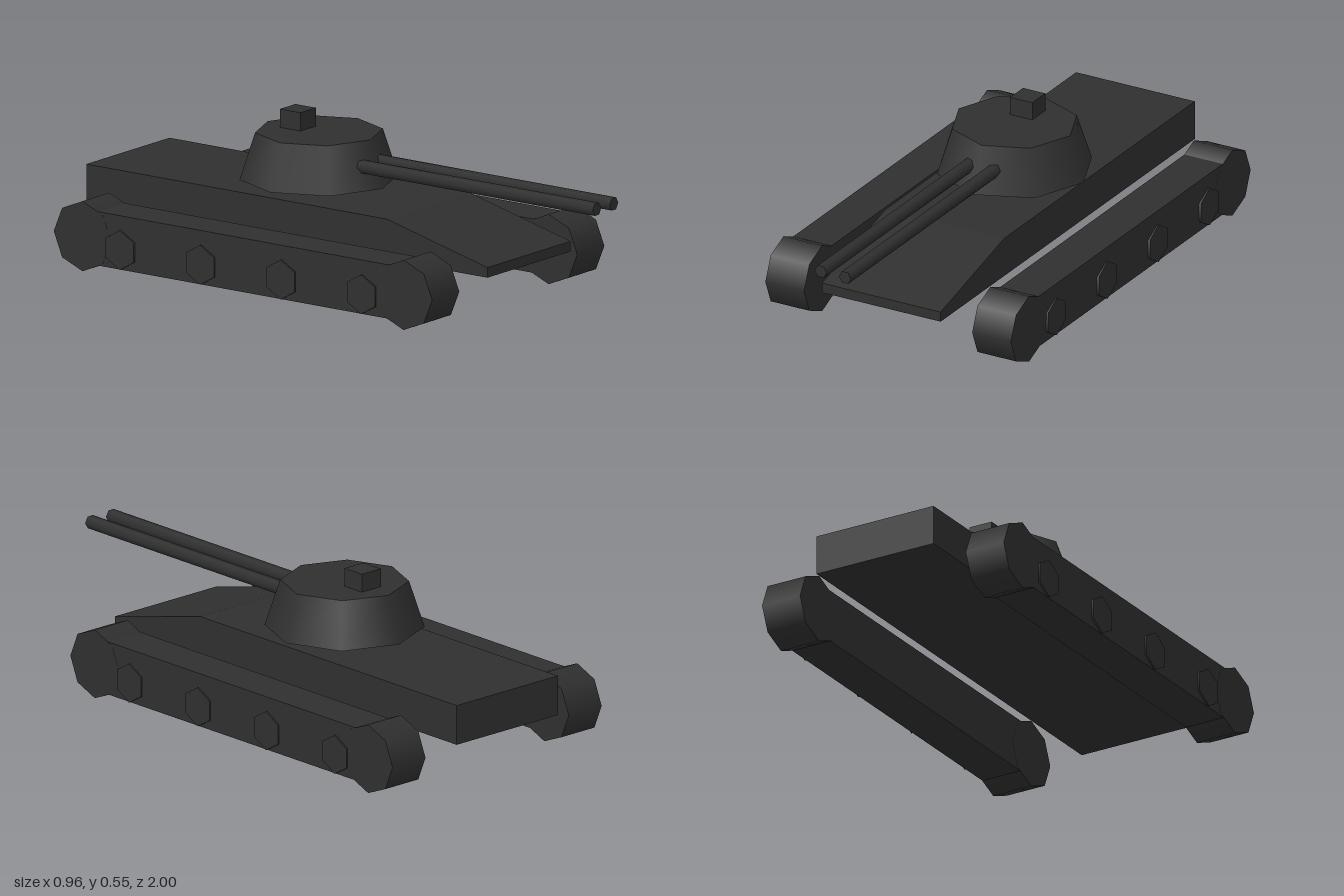
import * as THREE from 'three';

export function createModel() {
  const model = new THREE.Group();
  model.name = 'tank';
  const darkSteel = new THREE.MeshStandardMaterial({ color: 0x2f2f2f });
  darkSteel.name = 'dark steel';

  const add = (name, geometry, x, y, z, parent = model) => {
    const mesh = new THREE.Mesh(geometry, darkSteel);
    mesh.name = name;
    mesh.position.set(x, y, z);
    parent.add(mesh);
    return mesh;
  };

  // Hull: side profile (z, y) extruded across the width
  const profile = new THREE.Shape([
    [0.68, 0.157], [0.68, 0.192], [0.26, 0.295], [-1, 0.295], [-1, 0.157],
  ].map(([z, y]) => new THREE.Vector2(z, y)));
  const hull = new THREE.ExtrudeGeometry(profile, { depth: 0.458, bevelEnabled: false });
  hull.translate(0, 0, -0.229).rotateY(-Math.PI / 2);
  add('hull', hull, 0, 0, 0);

  // Turret: eight-sided tapered drum with a hatch block
  const turret = new THREE.Group();
  turret.name = 'turret';
  model.add(turret);
  add('turretBody', new THREE.CylinderGeometry(0.215, 0.267, 0.16, 8), 0, 0.405, -0.2, turret);
  add('hatch', new THREE.BoxGeometry(0.086, 0.064, 0.086), 0, 0.516, -0.288, turret);

  // Twin six-sided barrels
  const barrel = new THREE.CylinderGeometry(0.0235, 0.0235, 1.05, 6);
  barrel.rotateY(Math.PI / 6).rotateX(Math.PI / 2);
  for (const side of [-1, 1]) {
    add(side > 0 ? 'leftBarrel' : 'rightBarrel', barrel, side * 0.047, 0.404, 0.475, turret);
  }

  // Tracks: long block, eight-sided end drums and road wheels on the outside
  const block = new THREE.BoxGeometry(0.148, 0.185, 1.345);
  const drum = new THREE.CylinderGeometry(0.12, 0.12, 0.149, 8).rotateZ(Math.PI / 2);
  const wheel = new THREE.CylinderGeometry(0.068, 0.068, 0.06, 6);
  wheel.rotateY(Math.PI / 6).rotateZ(Math.PI / 2);
  for (const side of [-1, 1]) {
    const track = new THREE.Group();
    track.name = side > 0 ? 'leftTrack' : 'rightTrack';
    track.position.x = side * 0.399;
    model.add(track);
    add('trackBlock', block, 0, 0.1225, -0.1575, track);
    add('frontDrum', drum, 0, 0.121, 0.515, track);
    add('rearDrum', drum, 0, 0.121, -0.83, track);
    for (let i = 0; i < 4; i++) {
      add('roadWheel', wheel, side * 0.05, 0.098, 0.341 - i * 0.337, track);
    }
  }
  return model;
}
